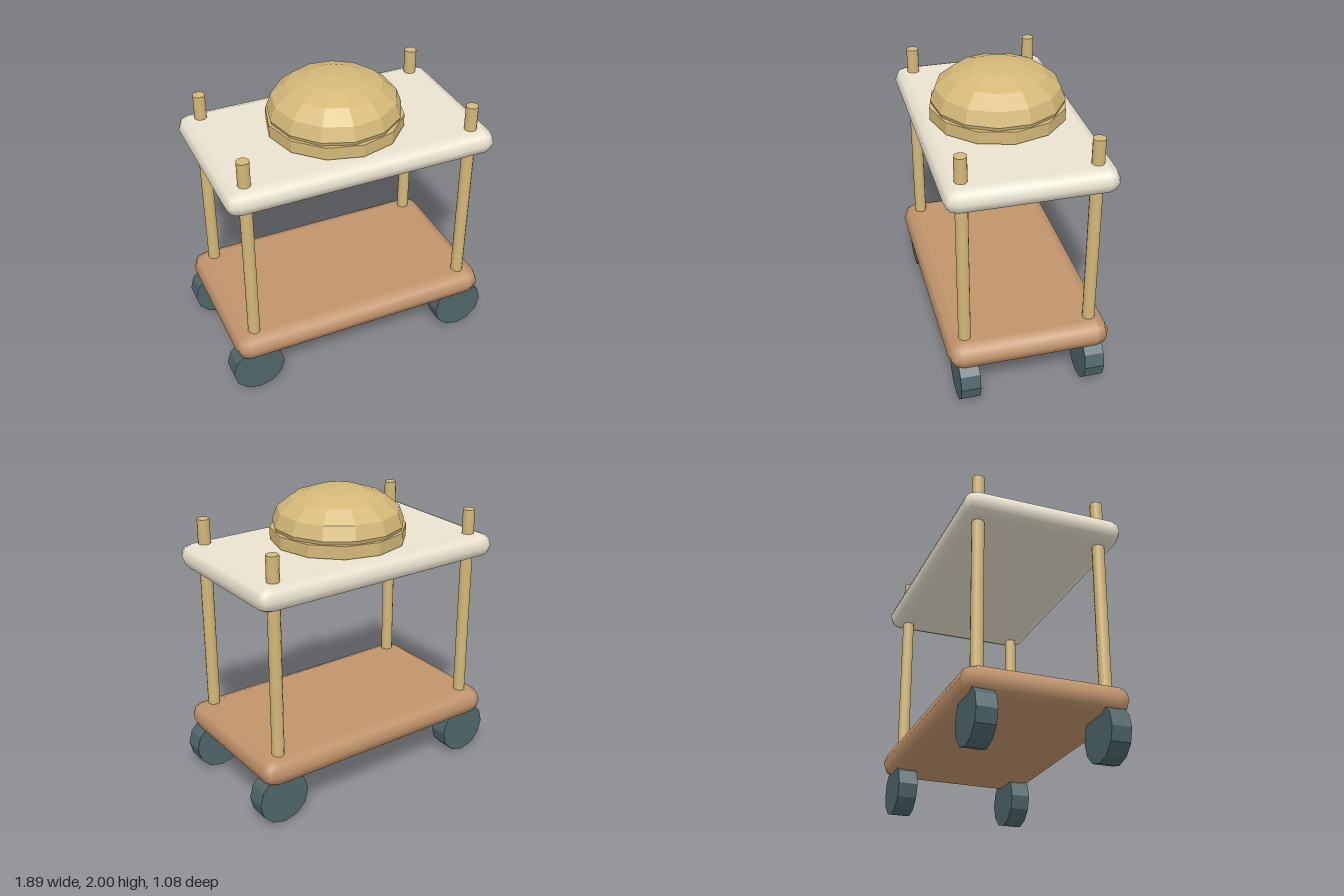
import * as THREE from 'three';
import { RoundedBoxGeometry } from 'three/addons/geometries/RoundedBoxGeometry.js';

const paint = (color, flatShading = false) => new THREE.MeshStandardMaterial({ color, flatShading });

export function createModel() {
  const group = new THREE.Group();
  const wood = paint(0xc1946b);
  const cream = paint(0xeae3d0);
  const brass = paint(0xd4b878);
  const brassFlat = paint(0xd4b878, true);
  const rubber = paint(0x4f666b, true);

  function add(name, geometry, material, x, y, z) {
    const mesh = new THREE.Mesh(geometry, material);
    mesh.name = name;
    mesh.position.set(x, y, z);
    group.add(mesh);
    return mesh;
  }

  // Shelves with fully rounded, coarsely stepped edges
  add('lowerShelf', new RoundedBoxGeometry(1.82, 0.19, 1.08, 1, 0.095), wood, 0, 0.385, 0);
  add('upperShelf', new RoundedBoxGeometry(1.82, 0.165, 1.08, 1, 0.0825), cream, 0, 1.564, 0);

  // A post and a wheel at each corner
  const postGeometry = new THREE.CylinderGeometry(0.041, 0.041, 1.41, 12);
  const wheelGeometry = new THREE.CylinderGeometry(0.18, 0.18, 0.13, 12).rotateX(Math.PI / 2);
  for (const [xName, sx] of [['Left', 1], ['Right', -1]]) {
    for (const [zName, sz] of [['front', 1], ['back', -1]]) {
      add(`${zName}${xName}Post`, postGeometry, brass, sx * 0.765, 1.108, sz * 0.417);
      add(`${zName}${xName}Wheel`, wheelGeometry, rubber, sx * 0.765, 0.183, sz * 0.417);
    }
  }

  // Faceted dome sunk into the upper shelf, with a rim around it
  const dome = add('dome', new THREE.SphereGeometry(0.436, 13, 8), brassFlat, 0, 1.765, 0);
  dome.scale.y = 0.54;
  add('domeRim', new THREE.CylinderGeometry(0.448, 0.448, 0.085, 12), brassFlat, 0, 1.698, 0);

  return group;
}
